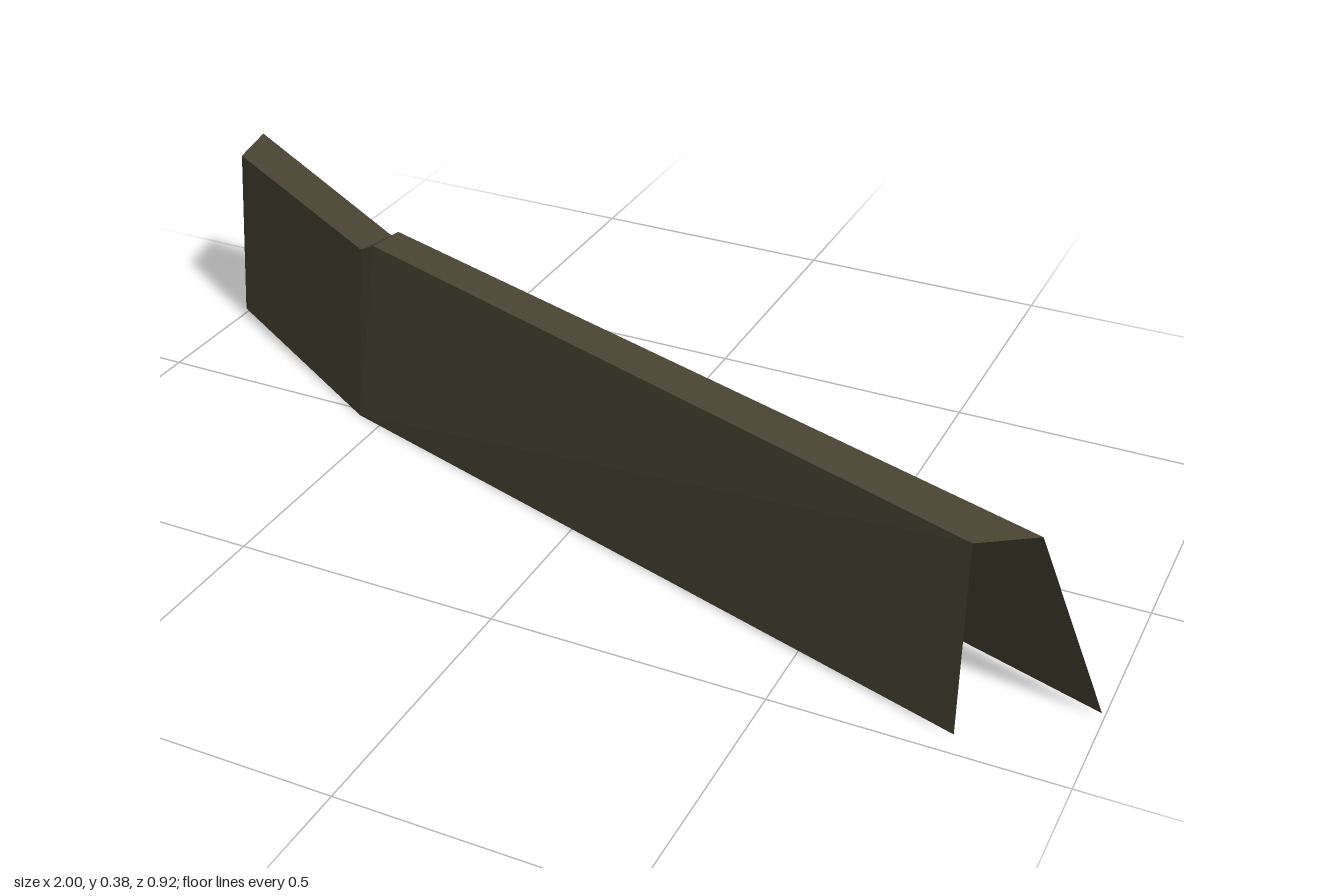
import * as THREE from 'three';

// Cross-sections from the right end (-x) to the left end (+x):
// front foot, front top, back top, back foot
const SECTIONS = [
  [[-0.99, 0.018, -0.23], [-0.975, 0.367, -0.245], [-1.0, 0.367, -0.36], [-0.94, 0.018, -0.46]],
  [[-0.555, 0.0, 0.02], [-0.54, 0.355, 0.0], [-0.515, 0.355, -0.075], [-0.45, 0.002, -0.18]],
  [[-0.555, 0.0, 0.02], [-0.5, 0.379, 0.018], [-0.49, 0.379, -0.055], [-0.45, 0.002, -0.18]],
  [[0.8, 0.005, 0.46], [0.8, 0.364, 0.46], [0.89, 0.365, 0.4], [0.995, 0.005, 0.308]],
];

// Flat-faced strip joining two neighbouring profile points along all sections
function stripGeometry(k) {
  const positions = [];
  const triangle = (a, b, c) => {
    const p = [a, b, c].map((v) => new THREE.Vector3(...v));
    if (new THREE.Triangle(...p).getArea() > 1e-6) positions.push(...a, ...b, ...c);
  };
  for (let i = 0; i < SECTIONS.length - 1; i++) {
    const s = SECTIONS[i], t = SECTIONS[i + 1];
    triangle(s[k], t[k], t[k + 1]);
    triangle(s[k], t[k + 1], s[k + 1]);
  }
  const geometry = new THREE.BufferGeometry();
  geometry.setAttribute('position', new THREE.Float32BufferAttribute(positions, 3));
  geometry.computeVertexNormals();
  return geometry;
}

export function createModel() {
  const group = new THREE.Group();
  group.name = 'bentBarrier';
  const material = new THREE.MeshStandardMaterial({ color: 0x4a4534, side: THREE.DoubleSide });
  material.name = 'dark olive';

  // Thin open channel: front wall, narrow top and sloping back wall
  ['frontWall', 'topStrip', 'backWall'].forEach((name, k) => {
    const mesh = new THREE.Mesh(stripGeometry(k), material);
    mesh.name = name;
    group.add(mesh);
  });
  return group;
}
